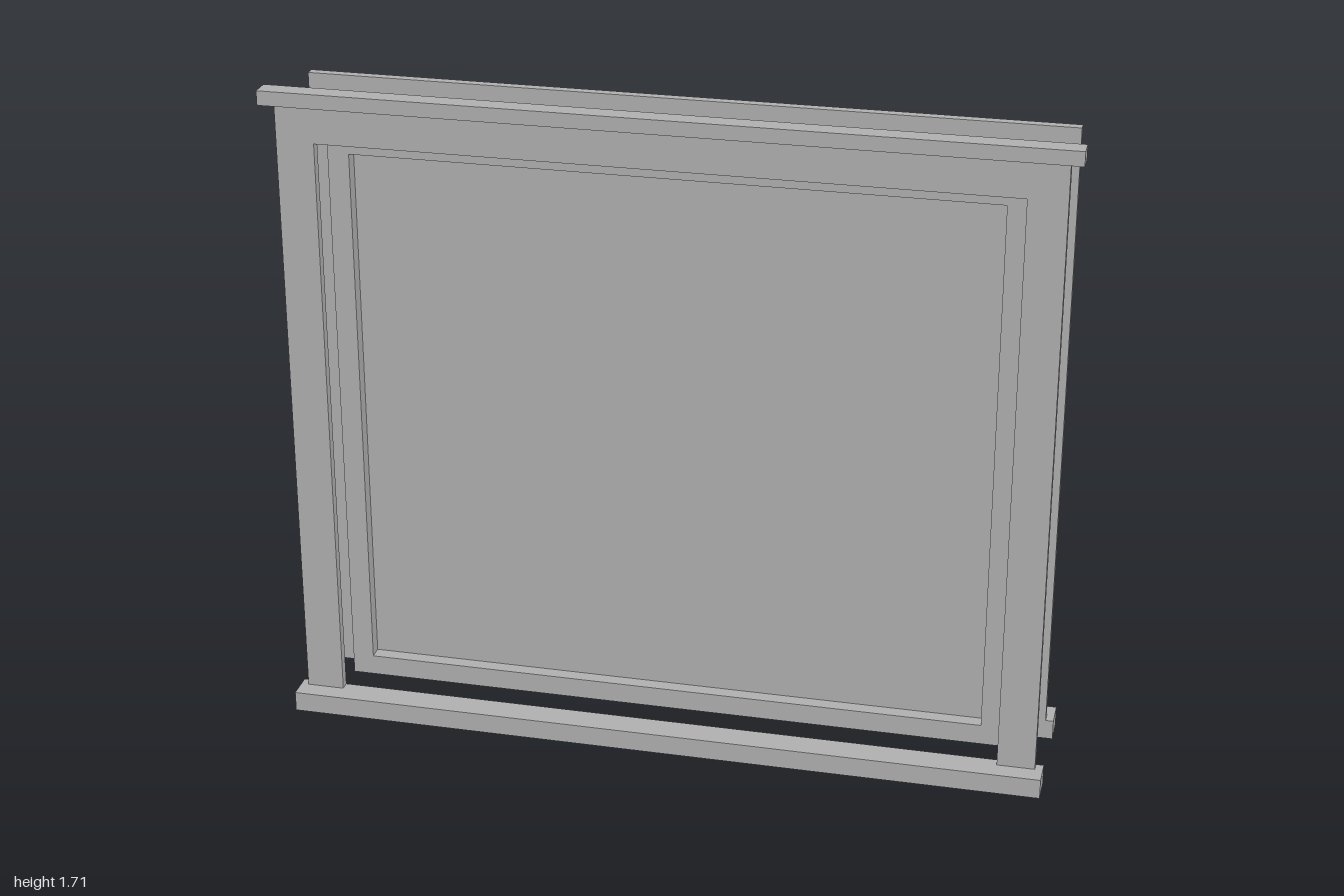
import * as THREE from 'three';

const grey = new THREE.MeshStandardMaterial({ color: 0xb0b0b0 });
grey.name = 'plain grey';

// Box given by its extents on each axis
function box(name, [x0, x1], [y0, y1], [z0, z1]) {
  const mesh = new THREE.Mesh(new THREE.BoxGeometry(x1 - x0, y1 - y0, z1 - z0), grey);
  mesh.position.set((x0 + x1) / 2, (y0 + y1) / 2, (z0 + z1) / 2);
  mesh.name = name;
  return mesh;
}

function extrude(name, shape, z0, z1) {
  const geometry = new THREE.ExtrudeGeometry(shape, { depth: z1 - z0, bevelEnabled: false });
  const mesh = new THREE.Mesh(geometry, grey);
  mesh.position.z = z0;
  mesh.name = name;
  return mesh;
}

const points = (list) => list.map(([x, y]) => new THREE.Vector2(x, y));
const rect = (w, y0, y1) => points([[-w, y0], [w, y0], [w, y1], [-w, y1]]);

export function createModel() {
  const model = new THREE.Group();
  model.name = 'window';

  // Casing: two stiles joined by a head, open at the sill
  const casing = new THREE.Shape(points([
    [-0.967, 0.053], [-0.87, 0.053], [-0.87, 1.575], [0.87, 1.575],
    [0.87, 0.053], [0.967, 0.053], [0.967, 1.673], [-0.967, 1.673],
  ]));

  // Front trim, with a cap over the head
  const frontTrim = new THREE.Group();
  frontTrim.name = 'frontTrim';
  frontTrim.add(
    extrude('frontCasing', casing, 0.112, 0.137),
    box('frontSill', [-0.987, 0.987], [0, 0.053], [0.112, 0.187]),
    box('headCap', [-1, 1], [1.673, 1.71], [0.112, 0.164]),
  );

  // Back trim
  const backTrim = new THREE.Group();
  backTrim.name = 'backTrim';
  backTrim.add(
    extrude('backCasing', casing, -0.137, -0.112),
    box('backSill', [-0.987, 0.987], [0, 0.053], [-0.187, -0.112]),
  );

  // Central frame with its recessed pane
  const frame = new THREE.Shape(rect(0.87, 0.053, 1.575));
  frame.holes.push(new THREE.Path(rect(0.815, 0.107, 1.521)));
  const sash = new THREE.Group();
  sash.name = 'sash';
  sash.add(
    extrude('sashFrame', frame, -0.043, 0.043),
    box('pane', [-0.815, 0.815], [0.107, 1.521], [-0.006, 0.006]),
  );

  model.add(frontTrim, backTrim, sash);
  return model;
}
